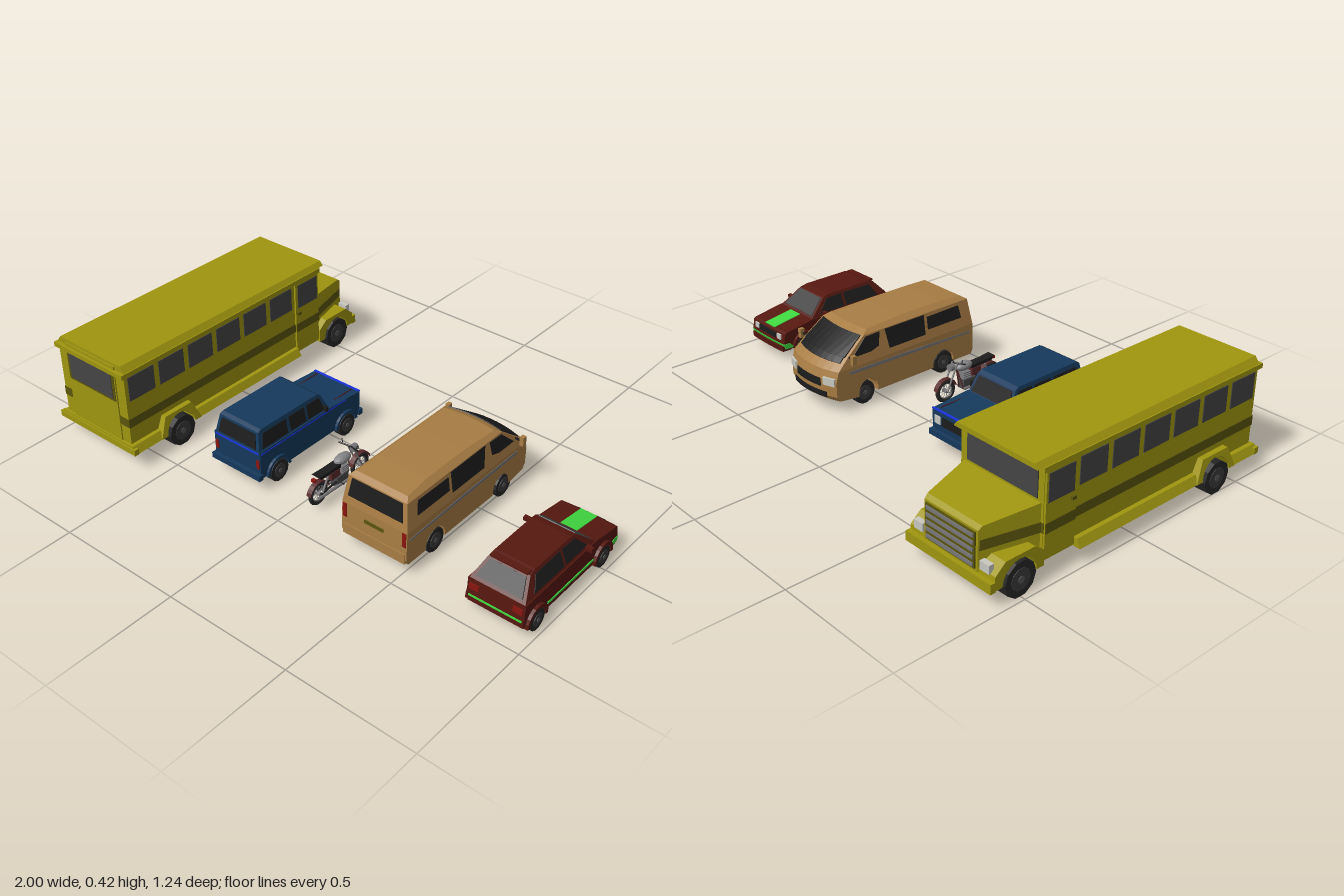
import * as THREE from 'three';

const YELLOW = 0xa0960f, OLIVE = 0x5a540c, BLUE = 0x15395c, SKY = 0x1a35e0, TAN = 0xa87d44, RED = 0x561810;
const GREEN = 0x40d840, GLASS = 0x444444, DARK = 0x1c1c1c, TYRE = 0x262626, GREY = 0x77777a, LAMP = 0xc8c8c0, TAIL = 0x8a1510;

const mats = {};
const mat = c => mats[c] ??= new THREE.MeshStandardMaterial({ color: c, flatShading: true });

function add(parent, name, color, geo, x = 0, y = 0, z = 0) {
  const m = new THREE.Mesh(geo, mat(color));
  m.name = name;
  m.position.set(x, y, z);
  parent.add(m);
  return m;
}
const box = (p, name, c, w, h, d, x, y, z) => add(p, name, c, new THREE.BoxGeometry(w, h, d), x, y, z);
// the same box on both sides
const pair = (p, name, c, w, h, d, x, y, z) => [-x, x].forEach(s => box(p, name, c, w, h, d, s, y, z));

function rod(p, name, c, a, b, r, sides = 8) {
  const A = new THREE.Vector3(...a), B = new THREE.Vector3(...b), d = B.clone().sub(A);
  const m = add(p, name, c, new THREE.CylinderGeometry(r, r, d.length(), sides));
  m.position.copy(A).add(B).multiplyScalar(0.5);
  m.quaternion.setFromUnitVectors(new THREE.Vector3(0, 1, 0), d.normalize());
}

// points of a wheel arch, from +z to -z
function arch(z, y, r, base) {
  const t0 = Math.asin((base - y) / r), n = 10;
  return Array.from({ length: n + 1 }, (_, i) => {
    const t = t0 + (Math.PI - 2 * t0) * i / n;
    return [z + r * Math.cos(t), y + r * Math.sin(t)];
  });
}

// side profile of [z, y] points spread across the width; hw gives the half width at (y, z),
// bow curves the nose back towards the sides
function slab(p, name, color, pts, hw, bow = 0) {
  const shape = new THREE.Shape(pts.map(q => new THREE.Vector2(q[0], q[1])));
  const geo = new THREE.ExtrudeGeometry(shape, { depth: 1, steps: bow ? 8 : 1, bevelEnabled: false });
  const pos = geo.attributes.position;
  for (let i = 0; i < pos.count; i++) {
    const z = pos.getX(i), y = pos.getY(i), u = 1 - 2 * pos.getZ(i);
    const x = u * (typeof hw === 'function' ? hw(y, z) : hw);
    const f = Math.min(1, Math.max(0, (0.05 - z) / 0.25));
    pos.setXYZ(i, x, y, z + bow * x * x * f);
  }
  geo.computeVertexNormals();
  return add(p, name, color, geo);
}

// thin sheet along a sloping line of the profile
function pane(p, name, color, [z1, y1], [z2, y2], hw, bow = 0, t = 0.003) {
  const l = Math.hypot(z2 - z1, y2 - y1), nz = -(y2 - y1) / l * t, ny = (z2 - z1) / l * t;
  slab(p, name, color, [[z1 - nz, y1 - ny], [z2 - nz, y2 - ny], [z2 + nz, y2 + ny], [z1 + nz, y1 + ny]], hw, bow);
}

const flare = (p, color, z, y, r, R, base, hw) =>
  slab(p, 'wheelArch', color, [...arch(z, y, R, base), ...arch(z, y, r, base).reverse()], hw);

function wheels(p, xOut, w, y, r, zs, sides = 14) {
  for (const z of zs) for (const s of [-1, 1]) {
    const g = new THREE.Group();
    g.name = 'wheel';
    g.position.set(s * (xOut - w / 2), y, z);
    g.rotation.z = Math.PI / 2;
    add(g, 'tyre', TYRE, new THREE.CylinderGeometry(r, r, w, sides));
    add(g, 'rim', 0x3a3a3a, new THREE.CylinderGeometry(r * 0.62, r * 0.62, w + 0.004, sides));
    add(g, 'hub', 0x555555, new THREE.CylinderGeometry(r * 0.2, r * 0.2, w + 0.008, 8));
    p.add(g);
  }
}
// straight blend of half widths between two heights
const taper = (y0, w0, y1, w1) => y => w0 + (w1 - w0) * (y - y0) / (y1 - y0);
const grow = (f, d) => (y, z) => f(y, z) + d;

function vehicle(root, name, x) {
  const g = new THREE.Group();
  g.name = name;
  g.position.x = x;
  root.add(g);
  return g;
}

function bus(root) {
  const g = vehicle(root, 'bus', -0.79);
  slab(g, 'body', YELLOW, [[0.605, 0.07], ...arch(0.39, 0.065, 0.075, 0.07), [-0.4, 0.07], [-0.4, 0.4], [0.605, 0.4]], 0.174);
  slab(g, 'roof', YELLOW, [[0.605, 0.4], [-0.435, 0.4], [-0.435, 0.418], [0.605, 0.424]], taper(0.4, 0.178, 0.424, 0.16));
  box(g, 'roofRail', YELLOW, 0.364, 0.018, 1.03, 0, 0.391, 0.105);
  box(g, 'underbody', OLIVE, 0.18, 0.05, 0.95, 0, 0.095, 0.1);
  box(g, 'sideStripe', OLIVE, 0.354, 0.036, 1.006, 0, 0.188, 0.103);
  for (let i = 0; i < 6; i++) box(g, 'sideWindow', GLASS, 0.354, 0.097, 0.12, 0, 0.326, 0.53 - i * 0.144);
  // skirt and rear fenders
  for (const [z0, z1] of [[0.615, 0.48], [0.3, -0.265]])
    slab(g, 'skirt', YELLOW, [[z0, 0.07], [z1, 0.07], [z1, 0.1], [z0, 0.1]], taper(0.07, 0.205, 0.1, 0.19));
  slab(g, 'rearFender', YELLOW, [[0.49, 0.07], ...arch(0.39, 0.065, 0.07, 0.07), [0.29, 0.07], [0.325, 0.148], [0.455, 0.148]], taper(0.07, 0.207, 0.148, 0.195));
  // doors
  pair(g, 'door', YELLOW, 0.012, 0.31, 0.13, 0.176, 0.235, -0.333);
  pair(g, 'doorStripe', OLIVE, 0.002, 0.036, 0.13, 0.1825, 0.188, -0.333);
  pair(g, 'doorWindow', GLASS, 0.004, 0.1, 0.11, 0.182, 0.325, -0.335);
  pair(g, 'doorHandle', OLIVE, 0.008, 0.012, 0.018, 0.185, 0.252, -0.283);
  // rear end
  box(g, 'rearDoor', YELLOW, 0.26, 0.335, 0.006, 0, 0.245, 0.607);
  box(g, 'rearWindowFrame', OLIVE, 0.25, 0.13, 0.006, 0, 0.33, 0.609);
  box(g, 'rearWindow', GLASS, 0.225, 0.112, 0.006, 0, 0.33, 0.611);
  box(g, 'rearBumper', YELLOW, 0.41, 0.024, 0.02, 0, 0.08, 0.61);
  // bonnet, narrowing forwards, with grille
  const hoodW = (y, z) => 0.165 + (z + 0.4) * 0.24;
  slab(g, 'bonnet', YELLOW, [[-0.4, 0.085], [-0.605, 0.085], [-0.605, 0.24], [-0.59, 0.252], [-0.4, 0.272]], hoodW);
  slab(g, 'bonnetStripe', OLIVE, [[-0.4, 0.17], [-0.6, 0.17], [-0.6, 0.206], [-0.4, 0.206]], grow(hoodW, 0.002));
  box(g, 'grille', OLIVE, 0.215, 0.125, 0.006, 0, 0.17, -0.607);
  for (let i = 0; i < 5; i++) box(g, 'grilleSlat', GREY, 0.205, 0.012, 0.008, 0, 0.12 + i * 0.025, -0.61);
  slab(g, 'frontFender', YELLOW, [[-0.4, 0.065], [-0.42, 0.065], ...arch(-0.5, 0.065, 0.07, 0.065), [-0.605, 0.065],
    [-0.6, 0.115], [-0.56, 0.15], [-0.44, 0.15], [-0.4, 0.12]], 0.186);
  pair(g, 'headlight', LAMP, 0.04, 0.03, 0.02, 0.145, 0.13, -0.596);
  box(g, 'frontBumper', YELLOW, 0.375, 0.035, 0.02, 0, 0.08, -0.61);
  box(g, 'windscreen', GLASS, 0.3, 0.1, 0.008, 0, 0.332, -0.4);
  wheels(g, 0.21, 0.115, 0.062, 0.062, [0.39], 10);
  wheels(g, 0.19, 0.06, 0.064, 0.064, [-0.5], 10);
}

function offRoader(root) {
  const g = vehicle(root, 'offRoader', -0.2625);
  const zs = [0.335, -0.03], cab = taper(0.165, 0.108, 0.25, 0.092);
  slab(g, 'body', BLUE, [[0.42, 0.06], ...arch(zs[0], 0.057, 0.05, 0.06), ...arch(zs[1], 0.057, 0.05, 0.06), [-0.11, 0.06],
    [-0.115, 0.16], [0.05, 0.172], [0.42, 0.172]], 0.112);
  slab(g, 'cabin', BLUE, [[0.42, 0.165], [0.05, 0.165], [0.085, 0.238], [0.1, 0.247], [0.39, 0.25], [0.405, 0.243]], cab);
  for (const w of [[[0.4, 0.178], [0.27, 0.178], [0.27, 0.233], [0.385, 0.233]],
    [[0.255, 0.178], [0.175, 0.178], [0.175, 0.233], [0.255, 0.233]],
    [[0.163, 0.178], [0.075, 0.178], [0.097, 0.233], [0.163, 0.233]]]) slab(g, 'sideWindow', DARK, w, grow(cab, 0.002));
  pane(g, 'windscreen', DARK, [0.054, 0.176], [0.082, 0.232], grow(cab, -0.012));
  pane(g, 'rearWindow', DARK, [0.418, 0.178], [0.407, 0.234], grow(cab, -0.014));
  for (const z of zs) flare(g, BLUE, z, 0.057, 0.049, 0.06, 0.06, 0.122);
  box(g, 'underbody', DARK, 0.14, 0.04, 0.5, 0, 0.075, 0.155);
  // bright trim
  pair(g, 'sideTrim', SKY, 0.002, 0.005, 0.45, 0.1125, 0.163, 0.19);
  box(g, 'rearTrim', SKY, 0.21, 0.006, 0.004, 0, 0.165, 0.421);
  box(g, 'noseTrim', SKY, 0.222, 0.005, 0.008, 0, 0.162, -0.113);
  pair(g, 'bonnetCrease', 0x4a1a22, 0.003, 0.003, 0.14, 0.085, 0.167, -0.03);
  box(g, 'grille', DARK, 0.12, 0.035, 0.004, 0, 0.125, -0.115);
  pair(g, 'headlight', LAMP, 0.03, 0.03, 0.006, 0.083, 0.125, -0.115);
  pair(g, 'tailLight', TAIL, 0.014, 0.035, 0.005, 0.1, 0.12, 0.421);
  for (const z of [0.425, -0.115]) box(g, 'bumper', BLUE, 0.235, 0.022, 0.02, 0, 0.07, z);
  pair(g, 'mirror', DARK, 0.02, 0.02, 0.01, 0.114, 0.185, 0.08);
  wheels(g, 0.121, 0.035, 0.057, 0.044, zs);
}

function motorcycle(root) {
  const g = vehicle(root, 'motorcycle', 0.055);
  const axles = [[0.13, 0.062], [0.352, 0.062]];
  for (const [z, y] of axles) {
    const tyre = add(g, 'tyre', TYRE, new THREE.TorusGeometry(0.038, 0.008, 8, 24), 0, y, z);
    const rim = add(g, 'rim', GREY, new THREE.TorusGeometry(0.03, 0.003, 6, 24), 0, y, z);
    tyre.rotation.y = rim.rotation.y = Math.PI / 2;
    rod(g, 'hub', GREY, [-0.012, y, z], [0.012, y, z], 0.007);
    for (let i = 0; i < 5; i++) {
      const a = i * Math.PI / 5, c = 0.03 * Math.cos(a), s = 0.03 * Math.sin(a);
      rod(g, 'spoke', GREY, [0, y + s, z + c], [0, y - s, z - c], 0.0012, 4);
    }
    flare(g, 0x5a2a2a, z, y, 0.048, 0.051, y + 0.012, 0.01);
  }
  for (const s of [-1, 1]) {
    rod(g, 'fork', GREY, [s * 0.013, 0.062, 0.13], [s * 0.013, 0.165, 0.178], 0.0035);
    rod(g, 'swingArm', DARK, [s * 0.013, 0.062, 0.352], [s * 0.013, 0.07, 0.26], 0.004);
    rod(g, 'shock', GREY, [s * 0.015, 0.066, 0.345], [s * 0.015, 0.122, 0.315], 0.004);
    rod(g, 'handlebar', DARK, [0, 0.162, 0.175], [s * 0.046, 0.17, 0.19], 0.003);
    rod(g, 'mirrorStem', DARK, [s * 0.03, 0.168, 0.184], [s * 0.036, 0.185, 0.182], 0.0015, 5);
    rod(g, 'exhaust', GREY, [s * 0.018, 0.05, 0.21], [s * 0.018, 0.055, 0.37], 0.006);
    rod(g, 'footPeg', DARK, [0, 0.055, 0.25], [s * 0.03, 0.055, 0.25], 0.003);
    rod(g, 'downTube', 0x5a2a2a, [0, 0.14, 0.185], [s * 0.012, 0.05, 0.21], 0.003);
  }
  rod(g, 'headlight', GREY, [0, 0.15, 0.148], [0, 0.15, 0.17], 0.014, 12);
  const tank = add(g, 'tank', 0x858588, new THREE.SphereGeometry(1, 14, 10), 0, 0.138, 0.222);
  tank.scale.set(0.022, 0.018, 0.04);
  slab(g, 'seat', DARK, [[0.25, 0.122], [0.35, 0.126], [0.365, 0.142], [0.32, 0.138], [0.25, 0.136]], 0.017);
  box(g, 'engine', 0x4a4a4c, 0.034, 0.04, 0.06, 0, 0.065, 0.24);
  for (let i = 0; i < 4; i++) box(g, 'coolingFin', GREY, 0.036, 0.004, 0.036, 0, 0.09 + i * 0.008, 0.225);
  box(g, 'sidePanel', 0x5a2a2a, 0.032, 0.03, 0.045, 0, 0.105, 0.275);
  box(g, 'tailLight', TAIL, 0.016, 0.01, 0.012, 0, 0.128, 0.372);
}

function van(root) {
  const g = vehicle(root, 'van', 0.3825);
  const zs = [0.29, -0.1], bow = 1.6, cab = taper(0.18, 0.137, 0.285, 0.122);
  slab(g, 'body', TAN, [[0.435, 0.05], ...arch(zs[0], 0.06, 0.053, 0.05), ...arch(zs[1], 0.06, 0.053, 0.05), [-0.245, 0.06],
    [-0.26, 0.08], [-0.262, 0.14], [-0.25, 0.18], [0.442, 0.18], [0.445, 0.07]], 0.137, bow);
  slab(g, 'cabin', TAN, [[0.442, 0.18], [-0.25, 0.18], [-0.2, 0.222], [-0.105, 0.285], [0.425, 0.285]], cab, bow);
  slab(g, 'roof', TAN, [[0.425, 0.285], [-0.105, 0.285], [-0.075, 0.298], [0.1, 0.304], [0.3, 0.304], [0.405, 0.298]],
    taper(0.285, 0.122, 0.304, 0.1), bow);
  for (const w of [[[0.385, 0.22], [0.215, 0.22], [0.215, 0.27], [0.375, 0.272]],
    [[0.2, 0.204], [0.02, 0.204], [0.005, 0.282], [0.2, 0.282]],
    [[-0.035, 0.228], [-0.08, 0.217], [-0.178, 0.217], [-0.1, 0.278], [-0.025, 0.28]]])
    slab(g, 'sideWindow', DARK, w, grow(cab, 0.002), bow);
  pane(g, 'windscreen', DARK, [-0.202, 0.222], [-0.108, 0.284], grow(cab, -0.01), bow);
  pane(g, 'windscreenBase', DARK, [-0.222, 0.204], [-0.2, 0.2225], grow(cab, -0.014), bow);
  pane(g, 'rearWindow', DARK, [0.437, 0.212], [0.426, 0.28], grow(cab, -0.018));
  slab(g, 'sideStripe', GREY, [[0.43, 0.145], [0.1, 0.15], [-0.2, 0.155], [-0.2, 0.167], [0.1, 0.163], [0.43, 0.152]], 0.1385, bow);
  box(g, 'underbody', DARK, 0.17, 0.05, 0.6, 0, 0.08, 0.1);
  // nose: grille, lamps, bumper
  slab(g, 'grille', DARK, [[-0.265, 0.115], [-0.25, 0.115], [-0.25, 0.145], [-0.265, 0.145]], 0.07, bow);
  slab(g, 'bumperIntake', DARK, [[-0.264, 0.075], [-0.25, 0.075], [-0.25, 0.095], [-0.264, 0.095]], 0.095, bow);
  for (const s of [-1, 1]) {
    const lamp = box(g, 'headlight', LAMP, 0.052, 0.03, 0.014, s * 0.106, 0.14, -0.241);
    lamp.rotation.y = s * -0.33;
  }
  box(g, 'rearBumper', TAN, 0.262, 0.04, 0.02, 0, 0.075, 0.438);
  pair(g, 'tailLight', TAIL, 0.016, 0.055, 0.006, 0.125, 0.15, 0.442);
  box(g, 'tailgateHandle', OLIVE, 0.08, 0.012, 0.006, 0, 0.145, 0.444);
  pair(g, 'mirrorArm', DARK, 0.03, 0.006, 0.006, 0.142, 0.222, -0.165);
  pair(g, 'mirror', TAN, 0.016, 0.036, 0.018, 0.16, 0.222, -0.168);
  wheels(g, 0.136, 0.035, 0.06, 0.046, zs);
}

function hatchback(root) {
  const g = vehicle(root, 'hatchback', 0.8675);
  const zs = [0.38, -0.005], bow = 0.6, cab = taper(0.138, 0.105, 0.212, 0.074);
  slab(g, 'body', RED, [[0.43, 0.045], ...arch(zs[0], 0.05, 0.044, 0.045), ...arch(zs[1], 0.05, 0.044, 0.045), [-0.095, 0.045],
    [-0.107, 0.075], [-0.1, 0.115], [-0.09, 0.12], [0.04, 0.14], [0.44, 0.14], [0.445, 0.08]], 0.108, bow);
  slab(g, 'cabin', RED, [[0.44, 0.138], [0.04, 0.138], [0.12, 0.203], [0.15, 0.211], [0.35, 0.212], [0.378, 0.206]], cab);
  for (const w of [[[0.385, 0.15], [0.22, 0.15], [0.22, 0.2], [0.355, 0.199]],
    [[0.208, 0.15], [0.085, 0.15], [0.135, 0.198], [0.208, 0.2]]]) slab(g, 'sideWindow', DARK, w, grow(cab, 0.002));
  pane(g, 'windscreen', GLASS, [0.05, 0.146], [0.116, 0.2], grow(cab, -0.01));
  pane(g, 'rearWindow', DARK, [0.43, 0.149], [0.384, 0.199], grow(cab, -0.012));
  box(g, 'tailSpoiler', RED, 0.14, 0.006, 0.025, 0, 0.21, 0.372);
  for (const z of zs) flare(g, RED, z, 0.05, 0.043, 0.056, 0.045, 0.119);
  box(g, 'underbody', DARK, 0.13, 0.04, 0.45, 0, 0.065, 0.18);
  // green trim
  pane(g, 'bonnetStripe', GREEN, [-0.092, 0.12], [0.035, 0.1395], 0.032, 0, 0.002);
  pair(g, 'sideTrim', GREEN, 0.004, 0.008, 0.265, 0.109, 0.068, 0.183);
  box(g, 'rearTrim', GREEN, 0.2, 0.006, 0.004, 0, 0.076, 0.446);
  slab(g, 'frontTrim', GREEN, [[-0.055, 0.05], [-0.1, 0.05], [-0.109, 0.072], [-0.08, 0.072]], 0.11, bow);
  slab(g, 'frontBumper', RED, [[-0.07, 0.04], [-0.11, 0.04], [-0.112, 0.062], [-0.07, 0.062]], 0.104, bow);
  box(g, 'grille', DARK, 0.11, 0.022, 0.006, 0, 0.098, -0.104);
  pair(g, 'headlight', LAMP, 0.026, 0.022, 0.008, 0.075, 0.098, -0.101);
  pair(g, 'tailLight', TAIL, 0.035, 0.022, 0.005, 0.082, 0.112, 0.443);
  box(g, 'rearBumper', RED, 0.21, 0.022, 0.014, 0, 0.06, 0.436);
  pair(g, 'mirror', RED, 0.026, 0.016, 0.014, 0.118, 0.152, 0.1);
  wheels(g, 0.117, 0.034, 0.05, 0.04, zs);
}

export function createModel() {
  const root = new THREE.Group();
  root.name = 'vehicleRow';
  [bus, offRoader, motorcycle, van, hatchback].forEach(build => build(root));
  return root;
}
